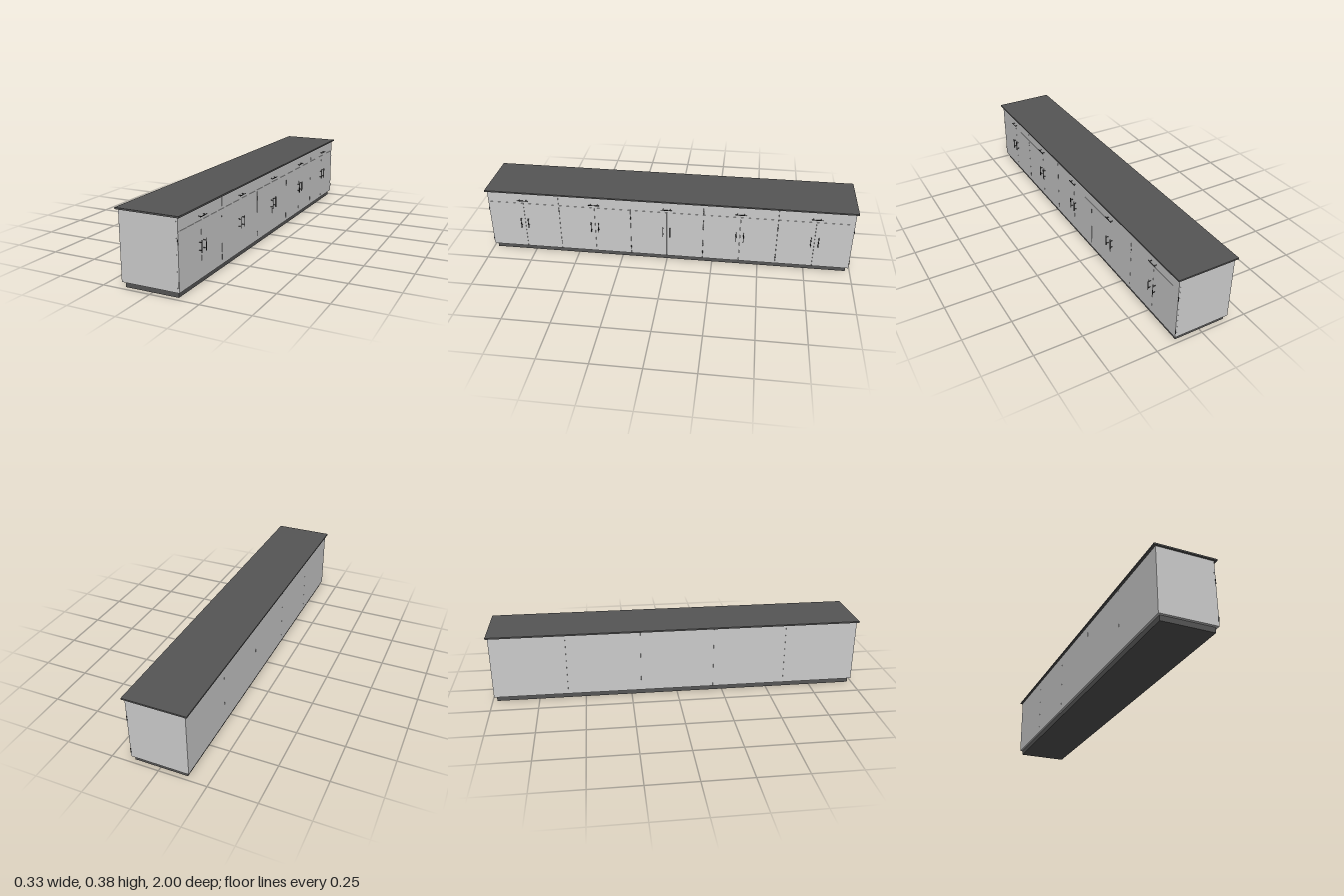
import * as THREE from 'three';

const CABINETS = 5;
const HALF = 0.99;                       // half length of the cabinet run
const WIDTH = (2 * HALF) / CABINETS;     // length of one cabinet
const FRONT = 0.148;                     // outer face of doors and drawers
const GAP = 0.001;

const body = new THREE.MeshStandardMaterial({ color: 0xcccccc });
const dark = new THREE.MeshStandardMaterial({ color: 0x555555 });
const metal = new THREE.MeshStandardMaterial({ color: 0x333333 });

// Box given by its lower and upper limits on each axis
function box(name, material, [x0, x1], [y0, y1], [z0, z1]) {
  const mesh = new THREE.Mesh(new THREE.BoxGeometry(x1 - x0, y1 - y0, z1 - z0), material);
  mesh.position.set((x0 + x1) / 2, (y0 + y1) / 2, (z0 + z1) / 2);
  mesh.name = name;
  return mesh;
}

function rod(name, radius, length) {
  const mesh = new THREE.Mesh(new THREE.CylinderGeometry(radius, radius, length, 12), metal);
  mesh.name = name;
  return mesh;
}

// Bar handle standing on two posts, upright along y
function makeHandle(name) {
  const handle = new THREE.Group();
  handle.name = name;
  const bar = rod('handleBar', 0.002, 0.06);
  bar.position.x = 0.0138;
  handle.add(bar);
  for (const side of [-1, 1]) {
    const post = rod('handlePost', 0.0016, 0.0138);
    post.rotation.z = Math.PI / 2;
    post.position.set(0.0069, side * 0.019, 0);
    handle.add(post);
  }
  return handle;
}

// One cabinet: carcass, a drawer above, a pair of doors below
function makeCabinet() {
  const cabinet = new THREE.Group();
  cabinet.name = 'cabinet';
  const h = WIDTH / 2;
  const back = FRONT - 0.008;
  cabinet.add(box('carcass', body, [-0.154, back], [0.028, 0.37], [-h + GAP / 4, h - GAP / 4]));
  cabinet.add(box('drawerFront', body, [back, FRONT], [0.306, 0.37], [-h + GAP / 2, h - GAP / 2]));

  const drawerHandle = makeHandle('drawerHandle');
  drawerHandle.rotation.x = Math.PI / 2;
  drawerHandle.position.set(FRONT, 0.328, 0);
  cabinet.add(drawerHandle);

  for (const side of [-1, 1]) {
    const limits = [side * GAP / 2, side * (h - GAP / 2)].sort((a, b) => a - b);
    cabinet.add(box('door', body, [back, FRONT], [0.028, 0.306 - GAP], limits));

    const doorHandle = makeHandle('doorHandle');
    doorHandle.position.set(FRONT, 0.1875, side * 0.02);
    cabinet.add(doorHandle);

    // Hinge barrels at the outer edge of the door
    for (const y of [0.065, 0.26]) {
      const hinge = rod('hinge', 0.002, 0.026);
      hinge.position.set(FRONT - 0.001, y, side * h);
      cabinet.add(hinge);
    }
  }
  return cabinet;
}

export function createModel() {
  const model = new THREE.Group();
  model.name = 'baseCabinetRun';
  model.add(box('worktop', dark, [-0.166, 0.16], [0.37, 0.378], [-1, 1]));
  model.add(box('plinth', dark, [-0.142, 0.136], [0, 0.028], [-0.976, 0.976]));
  for (let i = 0; i < CABINETS; i++) {
    const cabinet = makeCabinet();
    cabinet.position.z = (i - (CABINETS - 1) / 2) * WIDTH;
    model.add(cabinet);
  }
  return model;
}
